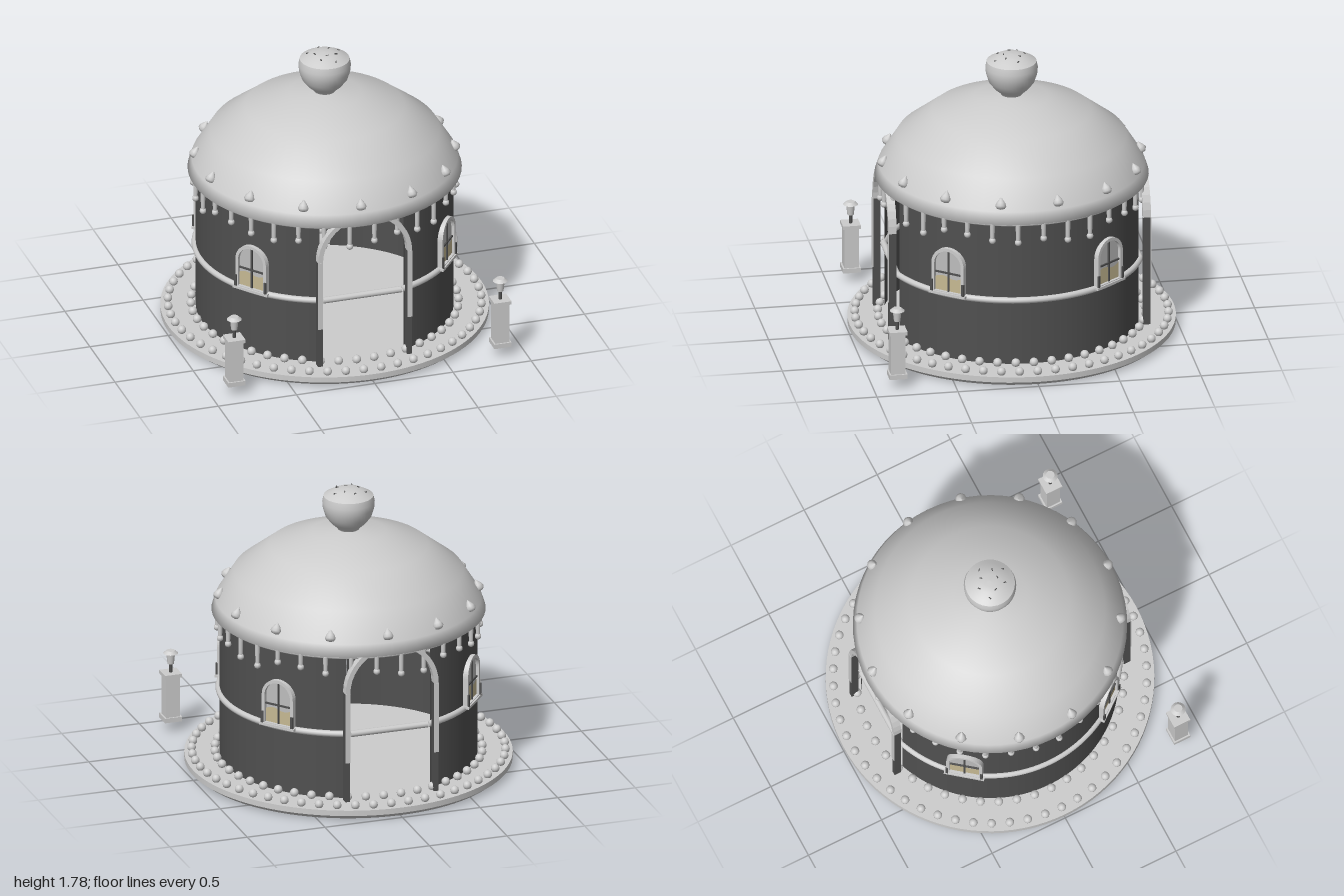
import * as THREE from 'three';

const V = (x, y) => new THREE.Vector2(x, y);
const pts = (list) => list.map(([x, y]) => V(x, y));

export function createModel() {
  const mat = (name, color) => {
    const m = new THREE.MeshStandardMaterial({ color, side: THREE.DoubleSide });
    m.name = name;
    return m;
  };
  const light = mat('light grey', 0xcccccc);
  const dark = mat('dark grey', 0x505050);
  const glass = mat('pale glass', 0xbdbdbd);
  const tan = mat('tan curtain', 0xc6b993);

  const model = new THREE.Group();
  model.name = 'roundPavilion';
  const add = (parent, name, geo, m, x = 0, y = 0, z = 0) => {
    const mesh = new THREE.Mesh(geo, m);
    mesh.name = name;
    mesh.position.set(x, y, z);
    parent.add(mesh);
    return mesh;
  };
  const group = (name, parent = model) => {
    const g = new THREE.Group();
    g.name = name;
    parent.add(g);
    return g;
  };
  const box = (w, h, d) => new THREE.BoxGeometry(w, h, d);
  const cyl = (a, b, h, n = 16) => new THREE.CylinderGeometry(a, b, h, n);

  // Platform with a bevelled underside
  add(model, 'platformBevel', cyl(1, 0.96, 0.03, 96), light, 0, 0.015, 0);
  add(model, 'platform', cyl(1, 1, 0.035, 96), light, 0, 0.0475, 0);

  // Two rings of beads on the platform
  const bead = new THREE.SphereGeometry(0.027, 12, 8);
  for (const [name, count, r] of [['outerBead', 54, 0.955], ['innerBead', 46, 0.815]]) {
    const ring = group(name + 'Ring');
    for (let i = 0; i < count; i++) {
      const a = (i / count) * Math.PI * 2;
      add(ring, name, bead, light, r * Math.cos(a), 0.085, r * Math.sin(a));
    }
  }

  // Curved walls, open at the front and back
  const GAP = 0.35;
  for (const start of [GAP, Math.PI + GAP]) {
    add(model, 'wall', new THREE.CylinderGeometry(0.785, 0.785, 0.94, 56, 1, true, start, Math.PI - 2 * GAP),
      dark, 0, 0.53, 0);
  }

  // Belt rail: arcs on the walls, straight bars across the doorways
  const half = 0.32;
  for (const s of [0, Math.PI]) {
    const arc = new THREE.TorusGeometry(0.79, 0.02, 10, 48, Math.PI - 2 * half);
    arc.rotateZ(half - Math.PI / 2 + s).rotateX(Math.PI / 2);
    add(model, 'beltRail', arc, light, 0, 0.485, 0);
    const bar = cyl(0.02, 0.02, 2 * 0.79 * Math.sin(half), 10).rotateZ(Math.PI / 2);
    add(model, 'beltBar', bar, light, 0, 0.485, Math.cos(s) * 0.79 * Math.cos(half));
  }

  // Arched door frames
  const archShape = new THREE.Shape();
  archShape.absarc(0, 0, 0.3, 0, Math.PI, false);
  archShape.absarc(0, 0, 0.27, Math.PI, 0, true);
  const archGeo = new THREE.ExtrudeGeometry(archShape, { depth: 0.05, bevelEnabled: false, curveSegments: 10 });
  for (const s of [0, Math.PI]) {
    const door = group('doorFrame');
    door.rotation.y = s;
    add(door, 'doorArch', archGeo, light, 0, 0.77, 0.76);
    for (const x of [-0.285, 0.285]) {
      add(door, 'doorPost', box(0.03, 0.705, 0.045), dark, x, 0.4175, 0.785);
      add(door, 'doorPostFacing', box(0.03, 0.45, 0.005), light, x, 0.545, 0.81);
    }
  }

  // Domed roof and the thin moulding under its eave
  const roof = new THREE.LatheGeometry(pts([[0.78, 0.995], [0.835, 1.0], [0.81, 1.075], [0.7, 1.25],
    [0.485, 1.415], [0.225, 1.505], [0, 1.525]]), 64);
  add(model, 'roof', roof, light);
  const moulding = new THREE.TorusGeometry(0.8, 0.012, 8, 80).rotateX(Math.PI / 2);
  add(model, 'eaveMoulding', moulding, light, 0, 0.99, 0);

  // Teardrop studs around the lower roof
  const studs = group('roofStuds');
  const stud = new THREE.LatheGeometry(pts([[0, -0.035], [0.024, -0.029], [0.034, -0.012], [0.026, 0.008],
    [0.01, 0.03], [0, 0.042]]), 12);
  for (let i = 0; i < 14; i++) {
    const holder = group('studHolder', studs);
    holder.rotation.y = (i / 14) * Math.PI * 2 - 0.026;
    add(holder, 'roofStud', stud, light, 0, 1.12, 0.79).rotation.x = -0.4;
  }

  // Drips of varying length under the eave
  const drips = group('drips');
  const lengths = [0.12, 0.085, 0.14, 0.1, 0.11, 0.08, 0.13];
  for (let i = 0; i < 32; i++) {
    const a = ((i + 0.4) / 32) * Math.PI * 2, len = lengths[(i * 3) % 7];
    const x = 0.8 * Math.sin(a), z = 0.8 * Math.cos(a);
    add(drips, 'dripStem', cyl(0.016, 0.013, len, 8), light, x, 0.99 - len / 2, z);
    add(drips, 'dripBulb', new THREE.SphereGeometry(0.021, 10, 8), light, x, 0.99 - len, z);
  }

  // Cup finial with a sprinkled cap
  const finial = group('finial');
  add(finial, 'finialCup', new THREE.LatheGeometry(pts([[0.06, 1.51], [0.07, 1.53], [0.105, 1.56], [0.14, 1.605],
    [0.157, 1.66], [0.16, 1.7], [0.152, 1.737]]), 40), light);
  add(finial, 'finialCap', new THREE.LatheGeometry(pts([[0.152, 1.737], [0.125, 1.752], [0.08, 1.775],
    [0.04, 1.782], [0, 1.784]]), 40), light);
  for (let i = 0; i < 9; i++) {
    const a = i * 2.4, r = 0.05 + 0.008 * i;
    const y = r < 0.08 ? 1.779 : 1.775 - (r - 0.08) * 0.51;
    add(finial, 'sprinkle', box(0.018, 0.006, 0.006), dark, r * Math.sin(a), y, r * Math.cos(a)).rotation.y = a * 1.7;
  }

  // Arched windows on the four diagonals
  const arched = (shape, w, bottom, spring) => {
    shape.moveTo(-w, bottom);
    shape.lineTo(w, bottom);
    shape.lineTo(w, spring);
    shape.absarc(0, spring, w, 0, Math.PI, false);
    shape.lineTo(-w, bottom);
    return shape;
  };
  const paneGeo = new THREE.ShapeGeometry(arched(new THREE.Shape(), 0.095, 0.5, 0.68), 12);
  const frameShape = arched(new THREE.Shape(), 0.112, 0.49, 0.68);
  frameShape.holes.push(arched(new THREE.Path(), 0.092, 0.505, 0.68));
  const frameGeo = new THREE.ExtrudeGeometry(frameShape, { depth: 0.035, bevelEnabled: false, curveSegments: 12 });
  const curtain = new THREE.Shape();
  curtain.moveTo(-0.092, 0.505);
  curtain.lineTo(0.092, 0.505);
  curtain.lineTo(0.092, 0.605);
  curtain.quadraticCurveTo(0.046, 0.575, 0, 0.595);
  curtain.quadraticCurveTo(-0.046, 0.615, -0.092, 0.59);
  const curtainGeo = new THREE.ShapeGeometry(curtain, 8);
  const A = 0.9;
  for (const a of [A, -A, Math.PI - A, Math.PI + A]) {
    const win = group('window');
    win.rotation.y = a;
    add(win, 'windowPane', paneGeo, glass, 0, 0, 0.789);
    add(win, 'windowCurtain', curtainGeo, tan, 0, 0, 0.792);
    add(win, 'windowFrame', frameGeo, light, 0, 0, 0.775);
    add(win, 'windowMullion', box(0.01, 0.27, 0.01), dark, 0, 0.638, 0.796);
    add(win, 'windowCrossbar', box(0.186, 0.01, 0.01), dark, 0, 0.625, 0.796);
    add(win, 'windowSill', box(0.25, 0.016, 0.05), light, 0, 0.492, 0.795);
    for (const x of [-0.107, 0.107]) add(win, 'windowBracket', box(0.016, 0.075, 0.012), dark, x, 0.537, 0.812);
  }

  // Lantern pillars at the front corners
  for (const x of [-0.85, 0.85]) {
    const pillar = group('lanternPillar');
    pillar.position.set(x, 0, 0.85);
    add(pillar, 'pillarBase', box(0.11, 0.03, 0.11), light, 0, 0.08, 0);
    add(pillar, 'pillarShaft', box(0.09, 0.26, 0.09), light, 0, 0.225, 0);
    add(pillar, 'pillarCap', box(0.11, 0.022, 0.11), light, 0, 0.364, 0);
    add(pillar, 'lanternStem', cyl(0.011, 0.011, 0.06, 8), dark, 0, 0.405, 0);
    add(pillar, 'lanternBody', cyl(0.028, 0.02, 0.07, 12), light, 0, 0.465, 0);
    add(pillar, 'lanternRoof', cyl(0.026, 0.046, 0.018, 16), light, 0, 0.507, 0);
  }
  return model;
}
